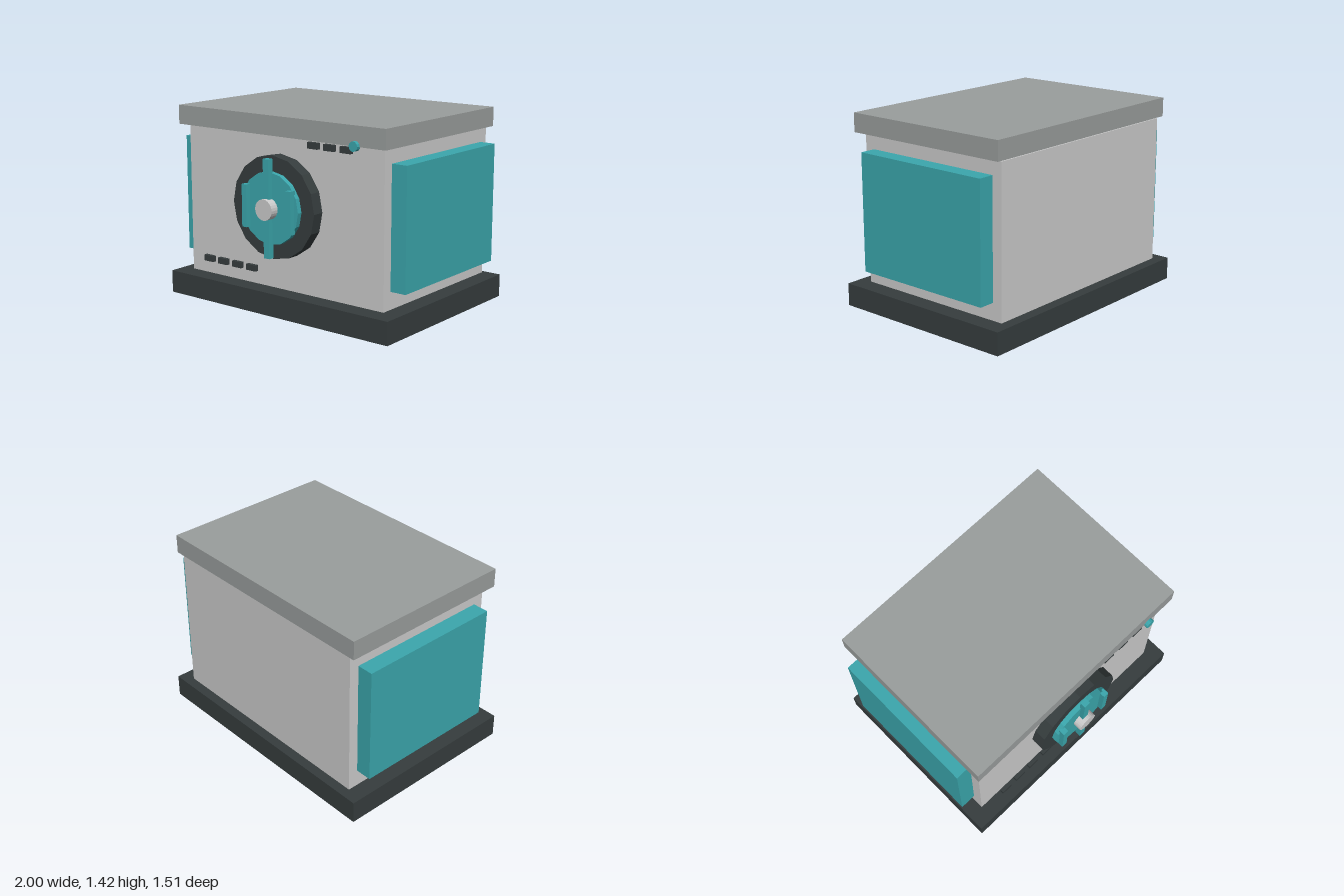
import * as THREE from 'three';

const material = (color) => new THREE.MeshStandardMaterial({ color, flatShading: true });

export function createModel() {
  const model = new THREE.Group();
  const light = material(0xcccccc);
  const grey = material(0x9a9e9d);
  const dark = material(0x363d3e);
  const teal = material(0x3ba7ad);

  // Box given by its extents on each axis
  function box(name, mat, [x0, x1], [y0, y1], [z0, z1], parent = model) {
    const mesh = new THREE.Mesh(new THREE.BoxGeometry(x1 - x0, y1 - y0, z1 - z0), mat);
    mesh.position.set((x0 + x1) / 2, (y0 + y1) / 2, (z0 + z1) / 2);
    mesh.name = name;
    parent.add(mesh);
  }

  // Disc facing the front, between two depths
  function disc(name, mat, radius, sides, x, y, [z0, z1], parent = model) {
    const geometry = new THREE.CylinderGeometry(radius, radius, z1 - z0, sides).rotateX(Math.PI / 2);
    const mesh = new THREE.Mesh(geometry, mat);
    mesh.position.set(x, y, (z0 + z1) / 2);
    mesh.name = name;
    parent.add(mesh);
  }

  // Cabinet
  box('base', dark, [-0.995, 0.995], [0, 0.167], [-0.755, 0.675]);
  box('body', light, [-0.88, 0.88], [0.177, 1.27], [-0.69, 0.56]);
  box('lid', grey, [-0.93, 0.93], [1.28, 1.42], [-0.705, 0.622]);
  box('leftSidePanel', teal, [0.88, 1], [0.303, 1.17], [-0.615, 0.482]);
  box('rightSidePanel', teal, [-1, -0.88], [0.303, 1.17], [-0.615, 0.482]);

  // Front dial with its handle bars and hub
  const dial = new THREE.Group();
  dial.name = 'dial';
  model.add(dial);
  const cy = 0.785;
  disc('dialRim', dark, 0.367, 16, 0, cy, [0.566, 0.655], dial);
  disc('dialFace', teal, 0.257, 16, 0, cy, [0.65, 0.692], dial);
  box('handleBar', teal, [-0.025, 0.025], [cy - 0.35, cy + 0.35], [0.683, 0.727], dial);
  for (const side of [-1, 1]) {
    const x = side * 0.2;
    box('sideBar', teal, [x - 0.021, x + 0.021], [cy - 0.152, cy + 0.152], [0.68, 0.73], dial);
  }
  disc('hub', light, 0.075, 24, 0, cy, [0.685, 0.755], dial);

  // Rows of small buttons
  const buttonRow = (name, count, x0, y) => {
    const row = new THREE.Group();
    row.name = name;
    for (let i = 0; i < count; i++) {
      const x = x0 + i * 0.139;
      box('button', dark, [x - 0.044, x + 0.044], [y - 0.022, y + 0.022], [0.587, 0.617], row);
    }
    model.add(row);
  };
  buttonRow('upperButtons', 3, 0.319, 1.246);
  buttonRow('lowerButtons', 4, -0.668, 0.303);

  // Indicator lamp at the lid edge
  disc('indicatorLamp', teal, 0.035, 12, 0.687, 1.284, [0.615, 0.649]);

  return model;
}
